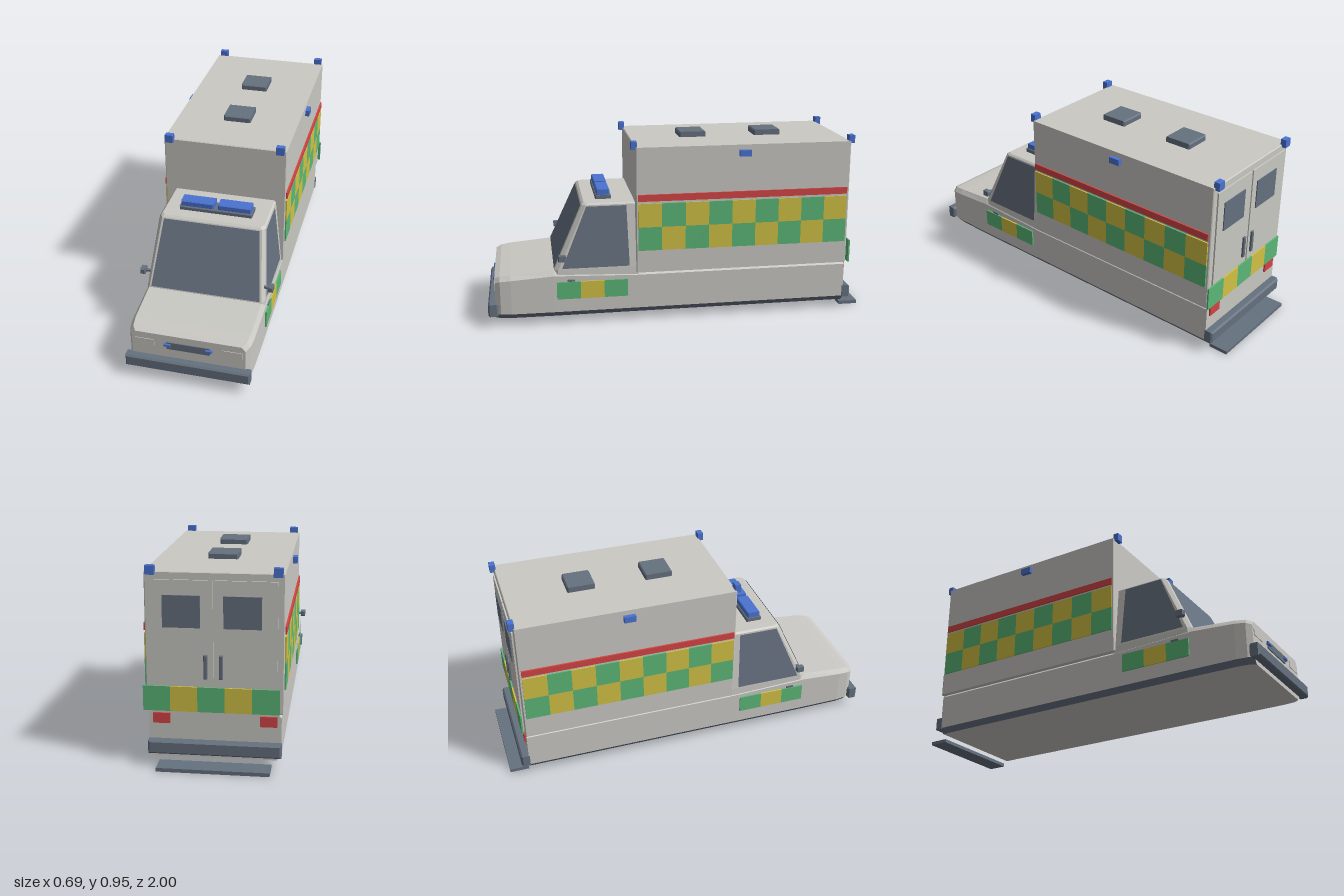
import * as THREE from 'three';

const mat = (name, color, side = THREE.FrontSide) => {
  const m = new THREE.MeshStandardMaterial({ color, side });
  m.name = name;
  return m;
};

export function createModel() {
  const body = mat('body grey', 0xcac9c4, THREE.DoubleSide);
  const slate = mat('slate', 0x667180, THREE.DoubleSide);
  const blue = mat('lamp blue', 0x4a73d1);
  const red = mat('red', 0xd64545);
  const green = mat('green', 0x5cb878);
  const yellow = mat('yellow', 0xd2c245);
  const model = new THREE.Group();
  model.name = 'ambulance';

  const add = (name, geo, material) => {
    const mesh = new THREE.Mesh(geo, material);
    mesh.name = name;
    model.add(mesh);
    return mesh;
  };
  // Box given by its limits on each axis
  const box = (name, material, x0, x1, y0, y1, z0, z1) => {
    const g = new THREE.BoxGeometry(Math.abs(x1 - x0), y1 - y0, Math.abs(z1 - z0));
    return add(name, g.translate((x0 + x1) / 2, (y0 + y1) / 2, (z0 + z1) / 2), material);
  };
  // Box with its long edges bevelled on the front outline
  const bevelBox = (name, material, x0, x1, y0, y1, z0, z1, b = 0.006) => {
    const s = new THREE.Shape([[x0 + b, y0 + b], [x1 - b, y0 + b], [x1 - b, y1 - b], [x0 + b, y1 - b]]
      .map(p => new THREE.Vector2(...p)));
    const g = new THREE.ExtrudeGeometry(s, {
      depth: z1 - z0 - 2 * b, bevelSize: b, bevelThickness: b, bevelSegments: 1,
    });
    return add(name, g.translate(0, 0, z0 + b), material);
  };
  // Flat-faced skin through matching loops of points; only the listed sides are built
  const loft = (loops, sides, caps) => {
    const pos = [], n = loops[0].length;
    for (let k = 0; k < loops.length - 1; k++) {
      for (const i of sides) {
        const j = (i + 1) % n, a = loops[k][i], b = loops[k][j], c = loops[k + 1][j], d = loops[k + 1][i];
        pos.push(...a, ...b, ...c, ...a, ...c, ...d);
      }
    }
    if (caps) {
      const first = loops[0], last = loops[loops.length - 1];
      for (let i = 1; i < n - 1; i++) {
        pos.push(...first[0], ...first[i + 1], ...first[i], ...last[0], ...last[i], ...last[i + 1]);
      }
    }
    const g = new THREE.BufferGeometry();
    g.setAttribute('position', new THREE.Float32BufferAttribute(pos, 3));
    g.computeVertexNormals();
    return g;
  };

  // Lower body: stations are z, half width, shoulder height, top height
  const stations = [
    [-0.9, 0.31, 0.25, 0.266], [0.23, 0.31, 0.25, 0.266], [0.66, 0.31, 0.265, 0.293],
    [0.88, 0.307, 0.25, 0.275], [0.935, 0.3, 0.245, 0.268], [0.962, 0.283, 0.235, 0.258],
  ];
  const hull = stations.map(([z, w, sh, top]) => [
    [-w + 0.022, 0.04, z], [w - 0.022, 0.04, z], [w, 0.068, z], [w, sh, z],
    [w - 0.018, top, z], [-w + 0.018, top, z], [-w, sh, z], [-w, 0.068, z],
  ]);
  add('lowerBody', loft(hull, [0, 2, 3, 4, 5, 6], true), body);
  add('sideSkirts', loft(hull, [1, 7], false), slate);

  // Cab, tapering upward with chamfered corner pillars
  const cabLoop = (y, w, zf) => [
    [-w + 0.014, y, zf], [w - 0.014, y, zf], [w, y, zf - 0.02], [w, y, 0.22],
    [-w, y, 0.22], [-w, y, zf - 0.02],
  ];
  add('cab', loft([
    cabLoop(0.25, 0.307, 0.66), cabLoop(0.295, 0.305, 0.655),
    cabLoop(0.626, 0.271, 0.504), cabLoop(0.635, 0.262, 0.492),
  ], [0, 1, 2, 3, 4, 5], true), body);

  // Cab glass lying on the sloping faces
  const zFront = y => 0.659 - (y - 0.295) * 0.456;
  const xSide = y => 0.309 - (y - 0.295) * 0.103;
  const quad = p => loft([[p[0], p[1]], [p[3], p[2]]], [0], false);
  add('windscreen', quad([
    [-0.281, 0.3, zFront(0.3)], [0.281, 0.3, zFront(0.3)],
    [0.246, 0.622, zFront(0.622)], [-0.246, 0.622, zFront(0.622)],
  ]), slate);
  for (const s of [1, -1]) {
    const pts = [[0.615, 0.302], [0.265, 0.302], [0.275, 0.62], [0.482, 0.62]]
      .map(([z, y]) => [s * xSide(y), y, z]);
    add('sideWindow', quad(s > 0 ? pts : [pts[1], pts[0], pts[3], pts[2]]), slate);
  }

  // Rear compartment and roof vents
  bevelBox('rearCompartment', body, -0.32, 0.32, 0.265, 0.926, -0.903, 0.23, 0.004);
  for (const z of [-0.107, -0.515]) bevelBox('roofVent', slate, -0.072, 0.072, 0.92, 0.955, z - 0.072, z + 0.072);

  // Chequered sides, stripes, side lamps, mirrors and handles
  for (const s of [1, -1]) {
    const step = 1.11 / 9;
    for (let c = 0; c < 9; c++) {
      for (let r = 0; r < 2; r++) {
        const z = 0.22 - c * step, y = 0.385 + r * 0.125;
        box('sideChequer', (c + r) % 2 ? yellow : green, s * 0.319, s * 0.327, y, y + 0.125, z - step, z);
      }
    }
    box('sideStripe', red, s * 0.319, s * 0.328, 0.647, 0.682, -0.89, 0.22);
    for (let c = 0; c < 3; c++) {
      const z = 0.645 - c * 0.123;
      box('cabChequer', c % 2 ? yellow : green, s * 0.309, s * 0.318, 0.14, 0.232, z - 0.123, z);
    }
    box('cabDoorHandle', slate, s * 0.305, s * 0.316, 0.233, 0.243, 0.55, 0.59);
    box('sideLamp', blue, s * 0.318, s * 0.342, 0.868, 0.9, -0.365, -0.305);
    box('mirrorArm', slate, s * 0.295, s * 0.325, 0.36, 0.37, 0.605, 0.62);
    const mx = s * 0.331;
    bevelBox('mirror', slate, mx - 0.013, mx + 0.013, 0.35, 0.381, 0.593, 0.635, 0.004);

    // Roof corner lamps
    const cx = s * 0.289;
    box('frontCornerLamp', blue, cx - 0.021, cx + 0.021, 0.913, 0.955, 0.222, 0.252);
    box('rearCornerLamp', blue, cx - 0.021, cx + 0.021, 0.913, 0.955, -0.925, -0.895);

    // Headlamp panels, grille lamps and tail lamps
    box('headlamp', body, s * 0.17, s * 0.27, 0.188, 0.222, 0.958, 0.965);
    bevelBox('grilleLamp', blue, s * 0.103 - 0.017, s * 0.103 + 0.017, 0.197, 0.213, 0.958, 0.975, 0.003);
    box('tailLamp', red, s * 0.21, s * 0.29, 0.205, 0.255, -0.908, -0.898);

    // Rear doors with windows and handles
    const dx = s * 0.147;
    box('rearDoor', body, dx - 0.142, dx + 0.142, 0.275, 0.89, -0.911, -0.902);
    const wx = s * 0.14 + 0.01;
    box('rearWindow', slate, wx - 0.087, wx + 0.087, 0.67, 0.82, -0.916, -0.91);
    const hx = s * 0.036 + 0.004;
    bevelBox('rearHandle', slate, hx - 0.009, hx + 0.009, 0.43, 0.545, -0.923, -0.909, 0.003);
  }

  // Chequered band across the rear
  for (let c = 0; c < 5; c++) {
    const x = 0.333 - c * 0.127;
    box('rearChequer', c % 2 ? yellow : green, x - 0.127, x, 0.27, 0.39, -0.919, -0.911);
  }

  // Grille, bumpers and rear step
  box('grille', slate, -0.108, 0.108, 0.18, 0.22, 0.958, 0.967);
  bevelBox('frontBumper', slate, -0.312, 0.312, 0.062, 0.127, 0.948, 1.0, 0.008);
  bevelBox('rearBumper', slate, -0.312, 0.312, 0.062, 0.127, -0.94, -0.888, 0.008);
  box('rearStep', slate, -0.264, 0.264, 0, 0.018, -1.0, -0.9);

  // Cab light bar
  bevelBox('lightBarBase', slate, -0.188, 0.188, 0.632, 0.655, 0.345, 0.428, 0.004);
  for (const s of [1, -1]) {
    bevelBox('lightBarLamp', blue, s * 0.096 - 0.085, s * 0.096 + 0.085, 0.652, 0.684, 0.352, 0.421, 0.005);
  }
  return model;
}
